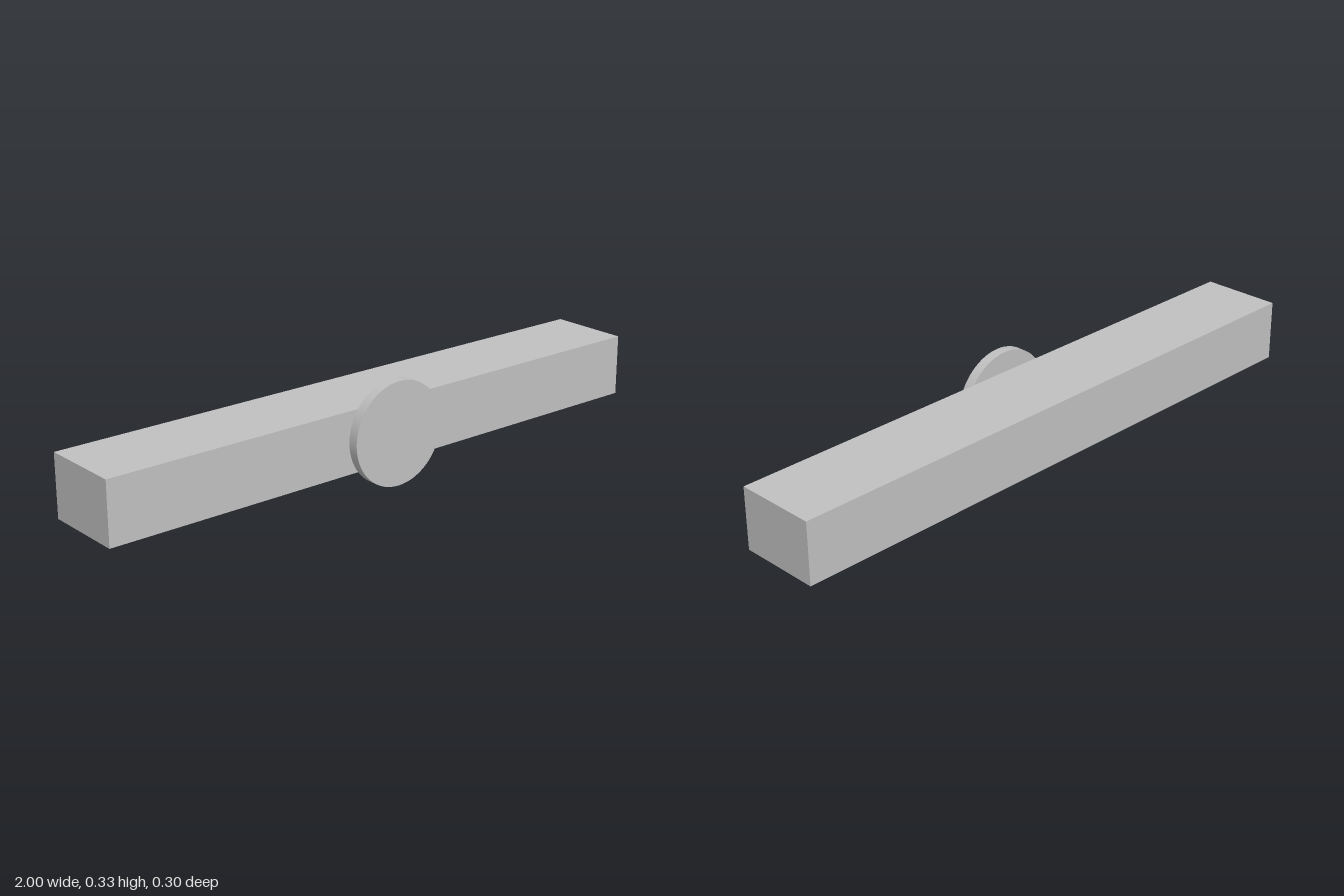
import * as THREE from 'three';

export function createModel() {
  const group = new THREE.Group();
  const grey = new THREE.MeshStandardMaterial({ color: 0xc0c0c0 });
  grey.name = 'light grey';

  const height = 1 / 6; // shared centre line of bar and disc

  function addPart(name, geometry, z) {
    const mesh = new THREE.Mesh(geometry, grey);
    mesh.name = name;
    mesh.position.set(0, height, z);
    group.add(mesh);
  }

  // Long rectangular bar
  addPart('bar', new THREE.BoxGeometry(2, 0.2, 0.2667), -0.0167);

  // Round plate on the middle of the front face
  const disc = new THREE.CylinderGeometry(height, height, 0.0333, 64).rotateX(Math.PI / 2);
  addPart('frontDisc', disc, 0.1333);

  return group;
}
